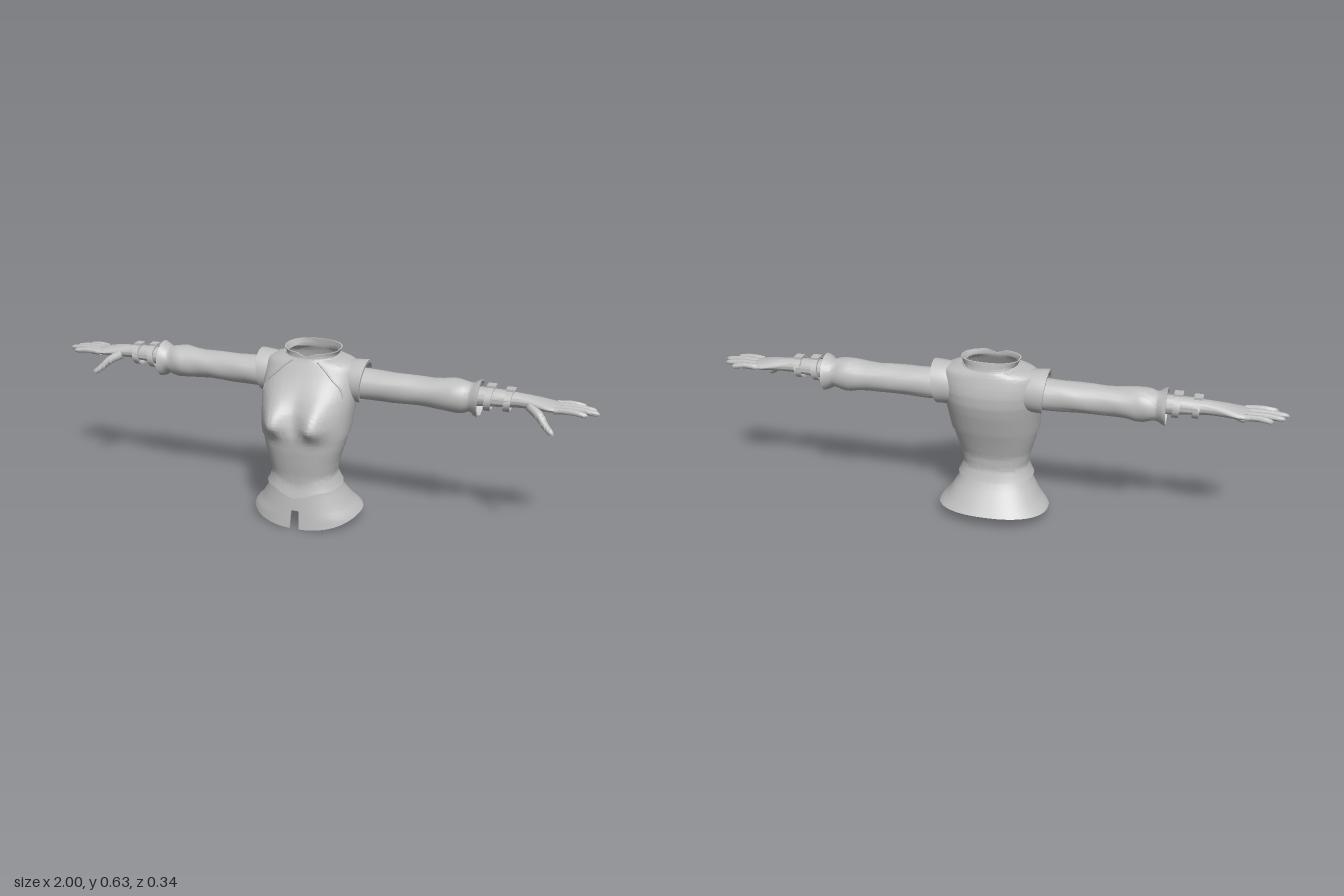
import * as THREE from 'three';
import { toCreasedNormals } from 'three/addons/utils/BufferGeometryUtils.js';

const cloth = new THREE.MeshStandardMaterial({ color: 0xbfbfbf, side: THREE.DoubleSide });
cloth.name = 'plain grey';

// Grid of points (rows x columns) to a smooth surface with sharp rims
function grid(rows, crease = 0.7) {
  const n = rows[0].length, pos = [], idx = [];
  rows.forEach((r) => r.forEach((p) => pos.push(...p)));
  for (let i = 0; i < rows.length - 1; i++) {
    for (let j = 0; j < n - 1; j++) {
      const a = i * n + j, b = a + n;
      idx.push(a, a + 1, b, b, a + 1, b + 1);
    }
  }
  const g = new THREE.BufferGeometry();
  g.setAttribute('position', new THREE.Float32BufferAttribute(pos, 3));
  g.setIndex(idx);
  return toCreasedNormals(g, crease);
}

function add(parent, name, geometry) {
  const m = new THREE.Mesh(geometry, cloth);
  m.name = name;
  parent.add(m);
  return m;
}

// Body profile: y, half width, front z, back z
const PROFILE = [
  [0, 0.222, 0.136, -0.21], [0.045, 0.2, 0.131, -0.172], [0.08, 0.168, 0.127, -0.142],
  [0.13, 0.137, 0.121, -0.101], [0.16, 0.124, 0.119, -0.082], [0.2, 0.117, 0.122, -0.077],
  [0.25, 0.127, 0.131, -0.08], [0.3, 0.142, 0.139, -0.097], [0.34, 0.151, 0.142, -0.112],
  [0.36, 0.154, 0.142, -0.12], [0.4, 0.158, 0.131, -0.133], [0.44, 0.162, 0.12, -0.146],
  [0.48, 0.166, 0.1, -0.156], [0.52, 0.168, 0.073, -0.158], [0.55, 0.168, 0.053, -0.153],
  [0.58, 0.163, 0.036, -0.145], [0.596, 0.148, 0.027, -0.14], [0.607, 0.086, 0.021, -0.134],
  [0.645, 0.106, 0.022, -0.129],
];
function profile(y) {
  const at = (v) => {
    let i = 0;
    while (i < PROFILE.length - 2 && v > PROFILE[i + 1][0]) i++;
    const [a, b] = [PROFILE[i], PROFILE[i + 1]];
    const t = Math.min(1, Math.max(0, (v - a[0]) / (b[0] - a[0])));
    return [1, 2, 3].map((k) => a[k] + (b[k] - a[k]) * t);
  };
  const [p, q, r] = [at(y - 0.007), at(y), at(y + 0.007)];
  return q.map((v, k) => (p[k] + 2 * v + r[k]) / 4);
}

// Point of the body surface; a = 0 at the left side, PI/2 at the front
function body(a, y, off = 0) {
  const [w, zf, zb] = profile(y);
  const c = Math.cos(a), s = Math.sin(a), e = 2 / 2.3;
  const x = (w + off) * Math.sign(c) * Math.abs(c) ** e;
  let z = (zf + zb) / 2 + ((zf - zb) / 2 + off) * Math.sign(s) * Math.abs(s) ** e;
  if (s > 0) {
    const u = (Math.abs(x) - 0.077) / 0.048, v = (y - 0.402) / (y < 0.402 ? 0.042 : 0.075);
    z += 0.051 * Math.exp(-u * u - v * v) * Math.min(1, s * 2);
  }
  return [x, y, z];
}

// Thick garment panel wrapped around the body between two edge curves
function panel({ bottom, top, off = () => 0, thick = 0.006, rows = 24, gap = 0, cols = 112 }) {
  const out = [], front = Math.PI / 2;
  const row = (t, inner) => {
    const r = [];
    for (let j = 0; j <= cols; j++) {
      const a = front + gap + (j / cols) * (2 * Math.PI - 2 * gap);
      const c = Math.cos(a), f = Math.sin(a);
      const y = THREE.MathUtils.lerp(bottom(c, f), top(c, f), t);
      r.push(body(a, y, off(t) - inner));
      // Close the cut ends of an open panel
      if (gap && (j === 0 || j === cols)) {
        const p = body(a, y, off(t) - thick / 2);
        if (j === 0) r.unshift(p); else r.push(p);
      }
    }
    return r;
  };
  for (let i = rows; i >= 0; i--) out.push(row(i / rows, 0));
  for (let i = 0; i <= rows; i++) out.push(row(i / rows, thick));
  out.push(out[0]);
  return grid(out);
}
const vee = (c, f, width) => (f > 0 ? Math.max(0, 1 - Math.abs(c) / width) : 0);

// Elliptical loft along x; sections: x, centre y, centre z, radius y, radius z
function loftX(sections, { sides = 28, lean = 0, wrinkle = 0 } = {}) {
  return grid(sections.map(([x, cy, cz, ry, rz], i) => {
    const r = [];
    for (let j = 0; j <= sides; j++) {
      const a = (j / sides) * Math.PI * 2;
      const k = 1 + wrinkle * Math.sin(3 * a + i * 1.9);
      const dy = Math.cos(a) * ry * k;
      r.push([x + dy * lean, cy + dy, cz + Math.sin(a) * rz * k]);
    }
    return r;
  }), 0.9);
}

// Rounded tapering tube through points
function taper(points, r0, r1) {
  const curve = new THREE.CatmullRomCurve3(points.map((p) => new THREE.Vector3(...p)));
  const n = 18, sides = 10, g = new THREE.TubeGeometry(curve, n, 1, sides);
  const pos = g.attributes.position, v = new THREE.Vector3();
  for (let i = 0; i <= n; i++) {
    const t = i / n, c = curve.getPointAt(t);
    const round = Math.sqrt(Math.max(0, 1 - Math.max(0, (t - 0.86) / 0.14) ** 2));
    for (let j = 0; j <= sides; j++) {
      const k = i * (sides + 1) + j;
      v.fromBufferAttribute(pos, k).sub(c).multiplyScalar((r0 + (r1 - r0) * t) * round).add(c);
      pos.setXYZ(k, v.x, v.y, v.z);
    }
  }
  return toCreasedNormals(g, 1.2);
}

function createArm(side) {
  const arm = new THREE.Group();
  arm.name = side + 'Arm';

  // Shoulder cap with its recessed armhole
  add(arm, 'shoulderCap', loftX([[0.1, 0.066, 0.066], [0.14, 0.074, 0.071], [0.17, 0.077, 0.074],
    [0.194, 0.078, 0.074], [0.194, 0.066, 0.064], [0.16, 0.058, 0.06]]
    .map(([x, ry, rz]) => [x, 0.525, -0.06, ry, rz]), { lean: 0.12, sides: 36 }));

  // Sleeve, puffed before a flared cuff
  add(arm, 'sleeve', loftX([[0.14, 0.056], [0.2, 0.055], [0.25, 0.054], [0.3, 0.053], [0.35, 0.052],
    [0.4, 0.051], [0.44, 0.052], [0.475, 0.055], [0.505, 0.059], [0.53, 0.059], [0.55, 0.055],
    [0.566, 0.05], [0.575, 0.051], [0.588, 0.06], [0.602, 0.066], [0.603, 0.06], [0.585, 0.052], [0.55, 0.034]]
    .map(([x, r]) => [x, 0.515, -0.061, r, r]), { wrinkle: 0.022, sides: 36 }));

  // Forearm, wrist and palm
  add(arm, 'forearmAndPalm', loftX([[0.54, 0.52, 0.036, 0.036], [0.62, 0.524, 0.032, 0.036],
    [0.68, 0.526, 0.029, 0.032], [0.73, 0.527, 0.025, 0.028], [0.765, 0.526, 0.023, 0.031],
    [0.8, 0.524, 0.02, 0.04], [0.835, 0.521, 0.016, 0.046], [0.862, 0.519, 0.013, 0.047],
    [0.878, 0.518, 0.009, 0.043], [0.884, 0.518, 0.001, 0.036]]
    .map(([x, cy, ry, rz]) => [x, cy, -0.06, ry, rz])));

  // Fingers from index to little, then the thumb
  [[-0.024, -0.013, 0.965], [-0.048, -0.045, 1], [-0.072, -0.075, 0.988], [-0.094, -0.106, 0.95]]
    .forEach(([z0, z1, tip], i) => add(arm, 'finger' + (i + 1), taper(
      [[0.855, 0.519, z0], [(0.855 + tip) / 2, 0.523, (z0 + z1) / 2], [tip, 0.517, z1]], 0.0125, 0.0085)));
  add(arm, 'thumb', taper([[0.775, 0.517, -0.04], [0.81, 0.497, -0.012], [0.84, 0.468, 0.01], [0.866, 0.449, 0.024]],
    0.019, 0.009));

  // Wrist straps with buckles and a joining strip
  [[0.635, 0.042, 0.05], [0.7, 0.037, 0.046]].forEach(([x, ry, rz], i) => {
    const band = [[-0.011, -0.006], [-0.011, 0], [0.011, 0], [0.011, -0.006], [-0.011, -0.006]];
    add(arm, 'strap' + (i + 1), loftX(band.map(([dx, d]) => [x + dx, 0.522, -0.055, ry + d, rz + d]), { lean: 0.1 }));
    const buckle = add(arm, 'buckle' + (i + 1), new THREE.BoxGeometry(0.03, 0.008, 0.034));
    buckle.position.set(x + 0.004, 0.524 + ry, -0.06);
  });
  [-0.098, -0.014].forEach((z) => {
    const strip = add(arm, 'strapJoin', new THREE.BoxGeometry(0.075, 0.014, 0.006));
    strip.position.set(0.667, 0.528, z);
  });
  if (side === 'right') arm.scale.x = -1;
  return arm;
}

export function createModel() {
  const model = new THREE.Group();
  model.name = 'jacketWithArms';

  // Flared skirt: lower half split at the front
  const split = () => 0.072;
  const hem = (c, f) => 0.043 - (f > 0 ? 0.039 * f * f : 0.012 * f);
  add(model, 'skirtUpper', panel({ bottom: split, top: () => 0.17, rows: 12 }));
  add(model, 'skirtLower', panel({ bottom: hem, top: split, rows: 10, gap: 0.055 }));

  // Waist section with a pointed, slightly flared lower edge
  add(model, 'corset', panel({
    bottom: (c, f) => 0.153 - 0.008 * f - 0.024 * vee(c, f, 0.55),
    top: (c, f) => 0.352 - 0.006 * f,
    off: (t) => 0.001 + 0.009 * Math.max(0, 1 - t / 0.2),
  }));

  // Chest and shoulders, overlapping the corset
  add(model, 'chest', panel({
    bottom: (c, f) => 0.344 - 0.005 * f - 0.008 * vee(c, f, 0.8),
    top: () => 0.607, off: () => 0.005, rows: 48, cols: 128,
  }));

  // Standing collar with a front notch
  add(model, 'collar', panel({
    bottom: () => 0.602,
    top: (c, f) => 0.633 - 0.006 * f - 0.012 * vee(c, f, 0.3),
    off: () => 0.003, rows: 8, thick: 0.005,
  }));

  // Raised seams from the neck to the armholes
  for (const s of [1, -1]) {
    const pts = [[0.33, 0.602], [0.43, 0.575], [0.58, 0.548], [0.76, 0.52], [0.86, 0.485]].map(([c, y]) =>
      new THREE.Vector3(...body(Math.acos(c * s), y, 0.005)));
    add(model, s > 0 ? 'leftSeam' : 'rightSeam',
      new THREE.TubeGeometry(new THREE.CatmullRomCurve3(pts), 30, 0.0035, 8));
  }

  model.add(createArm('left'), createArm('right'));
  return model;
}
